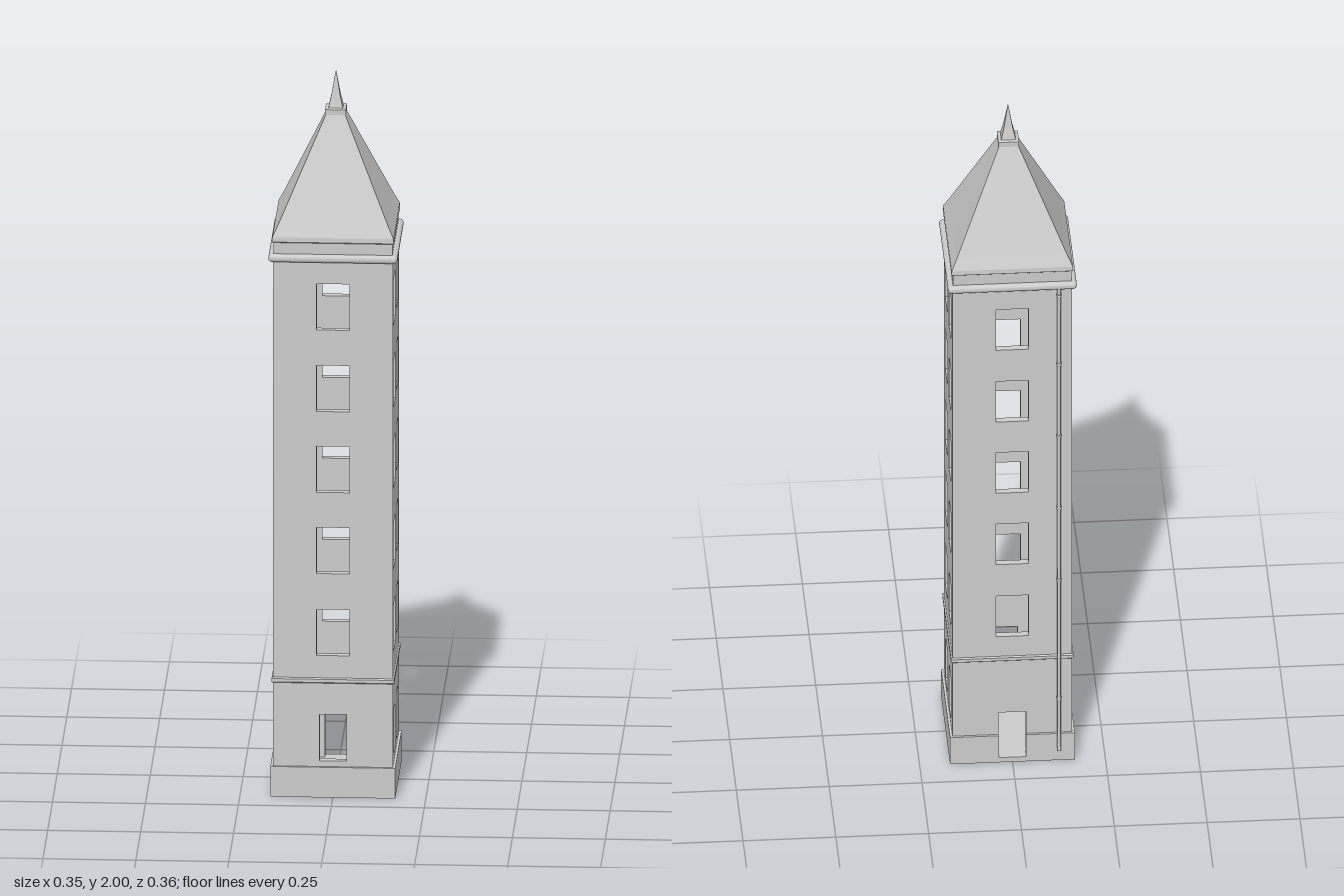
import * as THREE from 'three';
import { RoundedBoxGeometry } from 'three/addons/geometries/RoundedBoxGeometry.js';

const mat = new THREE.MeshStandardMaterial({ color: 0xcccccc });
const flat = new THREE.MeshStandardMaterial({ color: 0xcccccc, flatShading: true });

const HALF = 0.161, WALL = 0.02, TOP = 1.51;
const FLOORS = [0.463, 0.694, 0.923, 1.151, 1.381];

export function createModel() {
  const model = new THREE.Group();
  const tower = new THREE.Group();
  tower.name = 'tower';
  tower.position.z = 0.004;
  model.add(tower);

  const add = (name, geometry, material = mat, x = 0, y = 0, z = 0) => {
    const mesh = new THREE.Mesh(geometry, material);
    mesh.name = name;
    mesh.position.set(x, y, z);
    tower.add(mesh);
    return mesh;
  };

  const box = (name, w, h, d, x, y, z) => add(name, new THREE.BoxGeometry(w, h, d), mat, x, y, z);

  // Square solid or ring from a profile of [half width, height] points
  const square = (name, points) => {
    const profile = points.map(([r, y]) => new THREE.Vector2(r * Math.SQRT2, y));
    return add(name, new THREE.LatheGeometry(profile, 4, Math.PI / 4).toNonIndexed(), flat);
  };

  const rect = (path, x0, y0, x1, y1) =>
    path.moveTo(x0, y0).lineTo(x1, y0).lineTo(x1, y1).lineTo(x0, y1).closePath();

  // Wall panel with rectangular openings [centre x, bottom, top, half width]
  const wall = (name, half, openings, angle) => {
    const shape = new THREE.Shape();
    rect(shape, -half, 0.005, half, TOP);
    for (const [x, y0, y1, w] of openings) {
      const hole = new THREE.Path();
      rect(hole, x - w, y0, x + w, y1);
      shape.holes.push(hole);
    }
    const geometry = new THREE.ExtrudeGeometry(shape, { depth: WALL, bevelEnabled: false });
    geometry.translate(0, 0, HALF - WALL);
    geometry.rotateY(angle);
    add(name, geometry);
  };

  const upper = x => FLOORS.map(y => [x, y - 0.065, y + 0.065, 0.044]);
  const ground = x => [x, 0.101, 0.232, 0.036];
  const door = [0, 0.015, 0.155, 0.037];

  // Walls
  const sideOpenings = [-0.069, 0.069].flatMap(x => [...upper(x), ground(x)]);
  wall('frontWall', HALF, [...upper(0), ground(0)], 0);
  wall('backWall', HALF, [...upper(0), door], Math.PI);
  wall('leftWall', HALF - WALL, sideOpenings, Math.PI / 2);
  wall('rightWall', HALF - WALL, sideOpenings, -Math.PI / 2);

  // Plinth, left open at the back doorway
  const P = 0.168, T = 0.012, H = 0.085;
  box('floor', 2 * P, 0.015, 2 * P, 0, 0.0075, 0);
  box('frontPlinth', 2 * P, H, T, 0, H / 2, P - T / 2);
  for (const s of [-1, 1]) {
    box('sidePlinth', T, H, 2 * (P - T), s * (P - T / 2), H / 2, 0);
    box('backPlinth', P - 0.037, H, T, s * (P + 0.037) / 2, H / 2, -P + T / 2);
  }

  // String course and cornice
  square('stringCourse', [[0.16, 0.319], [0.165, 0.323], [0.165, 0.332], [0.16, 0.336]]);
  add('cornice', new RoundedBoxGeometry(0.347, 0.022, 0.347, 4, 0.01), mat, 0, 1.518, 0);

  // Roof with upright eave, slope and capping block
  square('roof', [[0.16, 1.525], [0.16, 1.56], [0.164, 1.563], [0.163, 1.576],
    [0.148, 1.607], [0.024, 1.885], [0, 1.885]]);
  square('roofCap', [[0, 1.88], [0.028, 1.88], [0.028, 1.895], [0.02, 1.897], [0, 1.897]]);
  square('finial', [[0.02, 1.895], [0.012, 1.93], [0.005, 1.972], [0, 2]]);

  // Drainpipe with kicked-out foot and brackets
  const pipeX = -0.125;
  const path = new THREE.CurvePath();
  const points = [[1.515, -0.168], [0.065, -0.17], [0.05, -0.172], [0.036, -0.179]]
    .map(([y, z]) => new THREE.Vector3(pipeX, y, z));
  for (let i = 1; i < points.length; i++) path.add(new THREE.LineCurve3(points[i - 1], points[i]));
  add('drainpipe', new THREE.TubeGeometry(path, 80, 0.005, 8),
    new THREE.MeshStandardMaterial({ color: 0xcccccc, side: THREE.DoubleSide }));
  for (const y of [0.2, 0.58, 0.81, 1.04, 1.27, 1.49]) {
    box('pipeBracket', 0.013, 0.006, 0.015, pipeX, y, -0.167);
  }

  return model;
}
